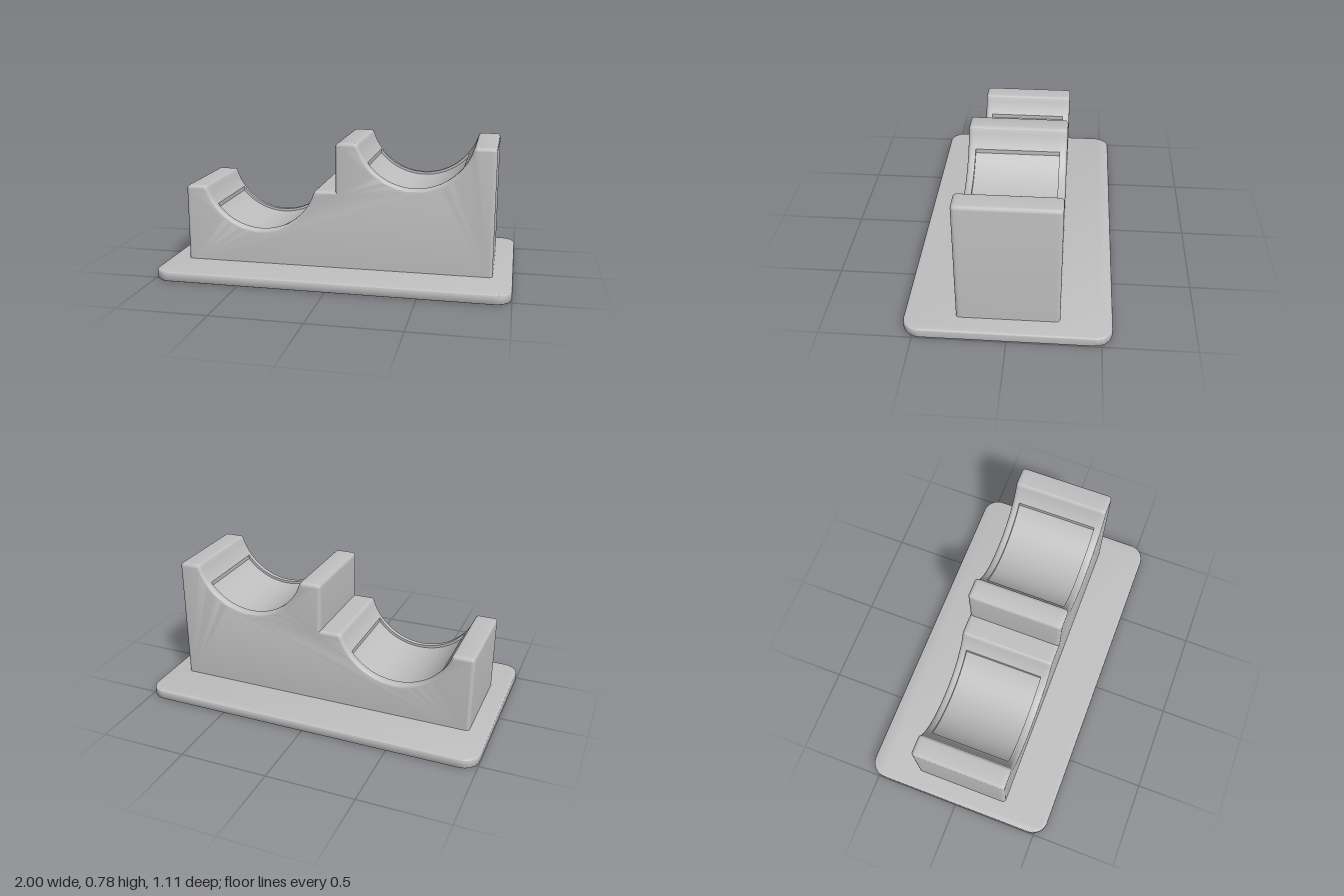
import * as THREE from 'three';
import { toCreasedNormals } from 'three/addons/utils/BufferGeometryUtils.js';

const F = 0.02;            // edge rounding
const R = 0.333;           // saddle radius
const POCKET_X = 0.267, POCKET_Z = 0.235, POCKET_DEPTH = 0.015;
const END = 0.889, HALF_Z = 0.278, STEP = 0.278;
const LOW = 0.5, HIGH = LOW + STEP;

// Side profile of the stepped block, inset by d, optionally with the saddle pockets sunk in
function profile(d, pocket) {
  const pts = [];
  const arc = (cx, cy, r, a0, a1, n, sunk = false) => {
    for (let i = 0; i <= n; i++) {
      const a = a0 + (a1 - a0) * i / n;
      const x = r * Math.cos(a);
      const y = sunk ? -Math.sqrt((r + POCKET_DEPTH) ** 2 - x * x) : r * Math.sin(a);
      pts.push(new THREE.Vector2(cx + x, cy + y));
    }
  };
  const saddle = (cx, top) => {
    const cy = top + 0.087, fy = top - F;
    const dx = Math.sqrt((R + F) ** 2 - (cy - fy) ** 2);
    const lip = Math.atan2(fy - cy, dx), edge = -Math.acos(POCKET_X / R);
    arc(cx + dx, fy, F - d, Math.PI / 2, lip + Math.PI, 6);
    arc(cx, cy, R + d, lip, edge, 6);
    arc(cx, cy, R + d, edge, -Math.PI - edge, 32, pocket);
    arc(cx, cy, R + d, -Math.PI - edge, -Math.PI - lip, 6);
    arc(cx - dx, fy, F - d, -lip, Math.PI / 2, 6);
  };
  pts.push(new THREE.Vector2(-END + d, 0.03), new THREE.Vector2(END - d, 0.03));
  arc(END - F, HIGH - F, F - d, 0, Math.PI / 2, 5);
  saddle(0.4445, HIGH);
  arc(F, HIGH - F, F - d, Math.PI / 2, Math.PI, 5);
  pts.push(new THREE.Vector2(d, LOW - d));
  saddle(-0.4445, LOW);
  arc(-END + F, LOW - F, F - d, Math.PI / 2, Math.PI, 5);
  return pts;
}

// Join the profiles along z and close both ends
function blockGeometry() {
  const layers = [], n = 5;
  for (let i = 0; i <= n; i++) {
    const t = i / n * Math.PI / 2;
    layers.push({ z: -HALF_Z + F * (1 - Math.cos(t)), pts: profile(F * (1 - Math.sin(t)), false) });
  }
  layers.push({ z: -POCKET_Z, pts: profile(0, false) }, { z: -POCKET_Z, pts: profile(0, true) });
  for (let i = layers.length - 1; i >= 0; i--) layers.push({ z: -layers[i].z, pts: layers[i].pts });

  const pos = [];
  const A = new THREE.Vector3(), B = new THREE.Vector3();
  const tri = (a, b, c) => {
    A.subVectors(b, a); B.subVectors(c, a);
    if (A.cross(B).length() > 1e-9) for (const p of [a, b, c]) pos.push(p.x, p.y, p.z);
  };
  const rings = layers.map(({ z, pts }) => pts.map(p => new THREE.Vector3(p.x, p.y, z)));
  for (let k = 0; k < rings.length - 1; k++) {
    const lo = rings[k], hi = rings[k + 1];
    lo.forEach((p, i) => {
      const j = (i + 1) % lo.length;
      tri(p, lo[j], hi[j]);
      tri(p, hi[j], hi[i]);
    });
  }
  const back = rings[0], front = rings[rings.length - 1];
  for (const [a, b, c] of THREE.ShapeUtils.triangulateShape(layers[0].pts.slice(), [])) {
    tri(front[a], front[b], front[c]);
    tri(back[a], back[c], back[b]);
  }
  const geo = new THREE.BufferGeometry();
  geo.setAttribute('position', new THREE.Float32BufferAttribute(pos, 3));
  return toCreasedNormals(geo, 0.5);
}

// Flat plate with rounded corners and softened rims
function plateGeometry() {
  const w = 1, h = 0.5556, r = 0.095, b = 0.01;
  const s = new THREE.Shape();
  s.absarc(w - r, h - r, r, 0, Math.PI / 2);
  s.absarc(-w + r, h - r, r, Math.PI / 2, Math.PI);
  s.absarc(-w + r, -h + r, r, Math.PI, Math.PI * 1.5);
  s.absarc(w - r, -h + r, r, Math.PI * 1.5, Math.PI * 2);
  s.closePath();
  const geo = new THREE.ExtrudeGeometry(s, {
    depth: 0.0556 - 2 * b, curveSegments: 10,
    bevelThickness: b, bevelSize: b, bevelOffset: -b, bevelSegments: 4,
  });
  geo.rotateX(-Math.PI / 2).translate(0, b, 0);
  return toCreasedNormals(geo, 0.6);
}

export function createModel() {
  const grey = new THREE.MeshStandardMaterial({ color: 0xc0c0c0 });
  grey.name = 'light grey';
  const model = new THREE.Group();
  model.name = 'steppedCradleStand';
  const add = (name, geo) => {
    const mesh = new THREE.Mesh(geo, grey);
    mesh.name = name;
    model.add(mesh);
  };
  add('basePlate', plateGeometry());
  add('steppedCradleBlock', blockGeometry());
  return model;
}
